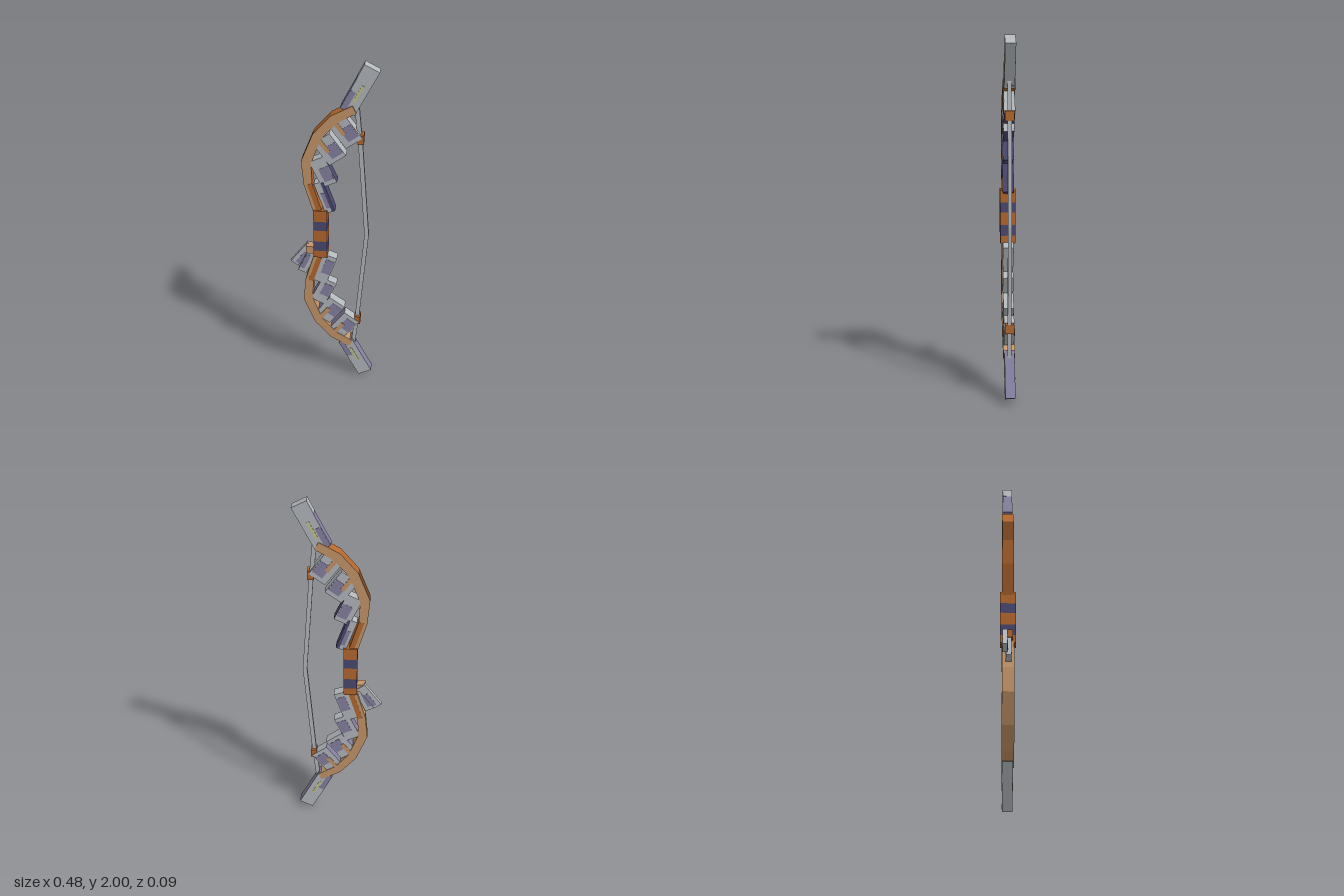
import * as THREE from 'three';

const mat = (name, color) => {
  const m = new THREE.MeshStandardMaterial({ color });
  m.name = name;
  return m;
};

export function createModel() {
  const silver = mat('silver', 0xb4b9be);
  const lavender = mat('lavender', 0x8681a3);
  const indigo = mat('indigo', 0x4c4972);
  const tan = mat('tan wood', 0xc6966a);
  const orange = mat('orange wood', 0xb5682e);
  const brown = mat('dark wood', 0x7a4720);
  const yellow = mat('pale yellow', 0xc6c684);
  const bow = new THREE.Group();
  bow.name = 'bow';

  const box = (name, parent, w, h, d, x, y, z, material, rot = 0) => {
    const mesh = new THREE.Mesh(new THREE.BoxGeometry(w, h, d), material);
    mesh.name = name;
    mesh.position.set(x, y, z);
    mesh.rotation.z = rot;
    parent.add(mesh);
    return mesh;
  };

  // Thin paint on the front and back of a block, in the block's own frame
  const paint = (name, block, depth, w, h, x, y, material) => {
    for (const s of [1, -1]) box(name, block, w, h, 0.003, x, y, s * depth / 2, material);
  };

  // Straight square bar between two points in the xy plane
  const bar = (name, a, b, w, material) => {
    const dx = b[0] - a[0], dy = b[1] - a[1];
    box(name, bow, w, Math.hypot(dx, dy), w * 0.9, (a[0] + b[0]) / 2, (a[1] + b[1]) / 2, 0,
      material, Math.atan2(-dx, dy));
  };

  // Striped grip
  const levels = [0.854, 0.898, 0.96, 1.03, 1.088, 1.156];
  for (let i = 0; i < 5; i++) {
    const h = levels[i + 1] - levels[i];
    box('gripBand', bow, 0.076, h, 0.086, -0.062, levels[i] + h / 2, 0, i % 2 ? indigo : orange);
  }

  // Outer and inner edge of the upper limb, from grip to tip
  const outer = [[-0.1, 1.14], [-0.15, 1.31], [-0.163, 1.45], [-0.1, 1.61], [-0.005, 1.72], [0.105, 1.78]];
  const inner = [[-0.05, 1.14], [-0.105, 1.32], [-0.11, 1.44], [-0.056, 1.585], [0.025, 1.68], [0.125, 1.74]];
  const upperEdges = [orange, orange, brown, orange, orange];

  // Spike blocks along the inside: x, y, tilt, width, length
  const spikes = [
    [0.07, 1.63, 0.64, 0.105, 0.155],
    [-0.013, 1.525, 0.63, 0.108, 0.15],
    [-0.047, 1.39, 0.44, 0.088, 0.165],
    [-0.04, 1.235, 0.34, 0.055, 0.19],
  ];

  for (const s of [1, -1]) {
    const up = s > 0;
    const side = up ? 'upper' : 'lower';
    const Y = y => 1 + s * (y - 1);

    // Limb segments
    for (let i = 0; i < 5; i++) {
      const quad = [outer[i], outer[i + 1], inner[i + 1], inner[i]]
        .map(p => new THREE.Vector2(p[0], Y(p[1])));
      const geo = new THREE.ExtrudeGeometry(new THREE.Shape(quad), { depth: 0.066, bevelEnabled: false });
      geo.translate(0, 0, -0.033);
      const limb = new THREE.Mesh(geo, [tan, up ? upperEdges[i] : tan]);
      limb.name = side + 'Limb';
      bow.add(limb);
    }
    // Darker grain on the limb beside the grip
    const grain = box('limbGrain', bow, 0.028, 0.17, 0.068, -0.094, Y(1.235), 0, orange, s * 0.3);
    grain.name = side + 'LimbGrain';

    // Spikes with painted shade and wood streaks
    spikes.forEach(([x, y, tilt, w, l], i) => {
      const width = i === 3 && !up ? 0.08 : w;
      const endFace = up ? indigo : silver;
      const faces = up
        ? [i > 1 ? indigo : silver, lavender, silver, endFace, silver, silver]
        : [silver, lavender, endFace, lavender, silver, silver];
      const block = box(side + 'Spike', bow, width, l, 0.058, x, Y(y), 0, faces, s * tilt);
      const shadeW = width * 0.62;
      paint('spikeShade', block, 0.058, shadeW, l * 0.5, (width - shadeW) / 2 - 0.005, -s * l * 0.1, lavender);
      if (i === 3 && up) paint('spikeEdge', block, 0.06, 0.016, l * 0.96, 0.018, 0, indigo);
      if (i < 2) paint('spikeStreak', block, 0.062, 0.024, 0.085, -0.012, s * (l / 2 - 0.043), tan);
    });

    // Tip block
    const tipFaces = up
      ? [silver, lavender, silver, lavender, silver, silver]
      : [lavender, silver, lavender, silver, silver, silver];
    const tip = box(side + 'Tip', bow, 0.085, 0.266, 0.056, 0.14, Y(1.863), -0.001, tipFaces, -s * 0.475);
    if (up) box('tipCap', tip, 0.004, 0.08, 0.056, -0.0425, 0.093, 0, silver);
    paint('tipShade', tip, 0.056, 0.03, 0.11, -0.026, -s * 0.075, lavender);
    paint('tipStreak', tip, 0.058, 0.014, 0.1, 0.004, -s * 0.02, yellow);

    // String half and its binding
    bar(side + 'String', [0.125, Y(1.78)], [0.145, Y(1.58)], 0.024, silver);
    bar(side + 'String', [0.145, Y(1.59)], [0.191, Y(0.995)], 0.024, silver);
    box(side + 'StringBinding', bow, 0.034, 0.052, 0.05, 0.149, Y(1.588), 0, orange);
  }

  // Feather-like blades tied below the grip
  box('bladeBinding', bow, 0.055, 0.046, 0.05, -0.118, 0.887, 0, [orange, orange, tan, orange, tan, tan]);
  const bladeA = box('outerBlade', bow, 0.05, 0.16, 0.026, -0.17, 0.835, -0.017, silver, -0.64);
  paint('bladeShade', bladeA, 0.026, 0.025, 0.09, 0.01, -0.02, lavender);
  const bladeB = box('innerBlade', bow, 0.05, 0.165, 0.03, -0.138, 0.808, 0.002, silver, -0.42);
  paint('bladeShade', bladeB, 0.03, 0.025, 0.1, -0.01, -0.01, lavender);

  return bow;
}
